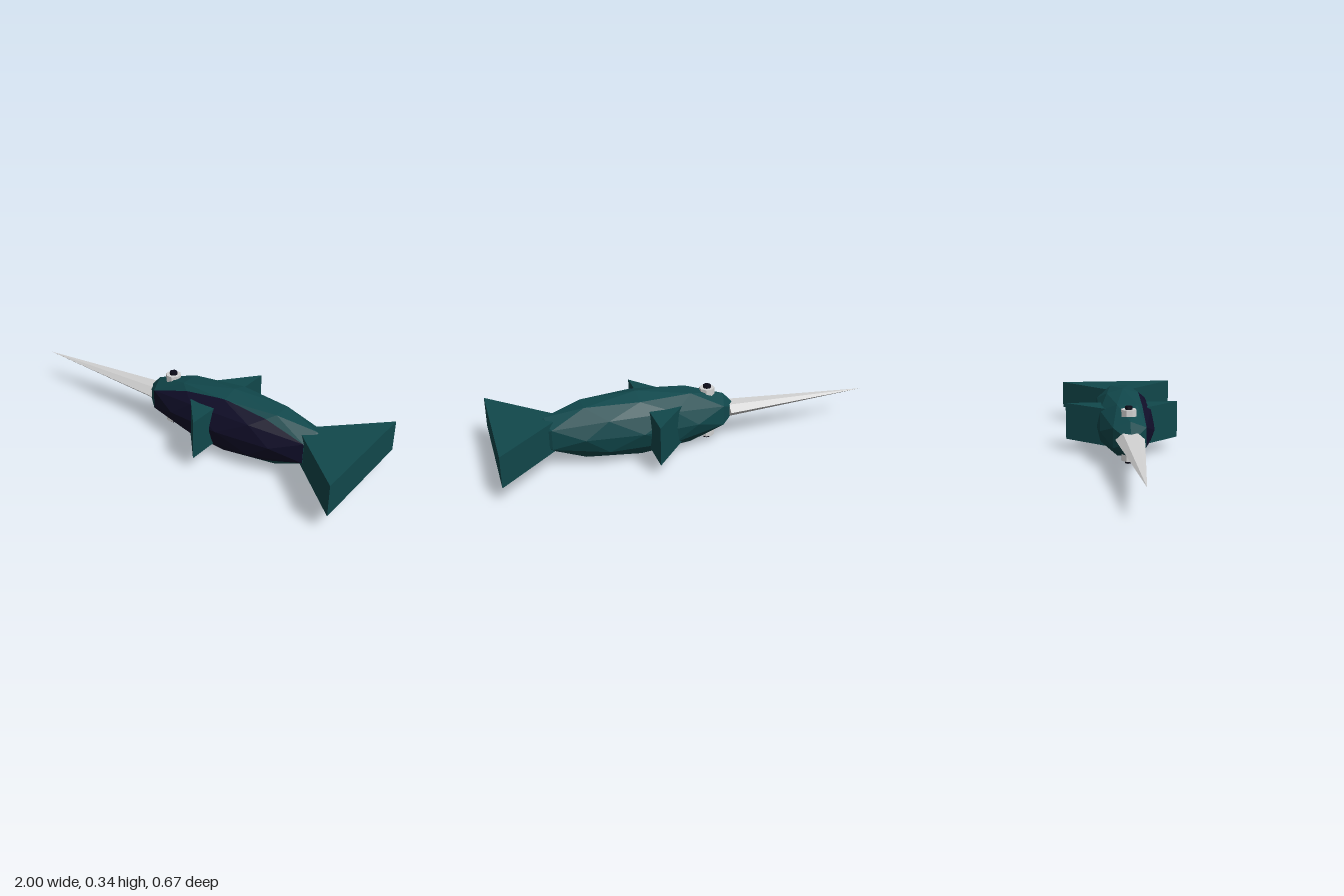
import * as THREE from 'three';

const mat = (name, color) => {
  const m = new THREE.MeshStandardMaterial({ color, flatShading: true });
  m.name = name;
  return m;
};

// Keep the part of a triangle geometry in front of (side 1) or behind (side -1) the plane z = cut
function clipZ(geometry, cut, side) {
  const p = geometry.getAttribute('position');
  const out = [];
  for (let i = 0; i < p.count; i += 3) {
    const tri = [0, 1, 2].map(k => new THREE.Vector3().fromBufferAttribute(p, i + k));
    const poly = [];
    tri.forEach((a, k) => {
      const b = tri[(k + 1) % 3];
      const da = (a.z - cut) * side, db = (b.z - cut) * side;
      if (da >= 0) poly.push(a);
      if (da * db < 0) poly.push(a.clone().lerp(b, da / (da - db)));
    });
    for (let k = 1; k + 1 < poly.length; k++) {
      for (const v of [poly[0], poly[k], poly[k + 1]]) out.push(v.x, v.y, v.z);
    }
  }
  const g = new THREE.BufferGeometry();
  g.setAttribute('position', new THREE.Float32BufferAttribute(out, 3));
  g.computeVertexNormals();
  return g;
}

// Prism with an outline of [x, z] points, standing between two heights
function prism(points, y0, y1) {
  const shape = new THREE.Shape(points.map(([x, z]) => new THREE.Vector2(x, -z)));
  const g = new THREE.ExtrudeGeometry(shape, { depth: y1 - y0, bevelEnabled: false });
  return g.rotateX(-Math.PI / 2).translate(0, y0, 0);
}

export function createModel() {
  const model = new THREE.Group();
  model.name = 'fish';
  const teal = mat('teal skin', 0x11484c);
  const navy = mat('navy back', 0x100e29);
  const grey = mat('pale grey', 0xd2d2d2);
  const black = mat('pupil black', 0x0b0b18);
  const add = (name, geometry, material, parent = model) => {
    const mesh = new THREE.Mesh(geometry, material);
    mesh.name = name;
    parent.add(mesh);
    return mesh;
  };

  const midY = 0.17, midZ = -0.01;

  // Faceted body, with the back in a darker colour
  const body = new THREE.IcosahedronGeometry(1, 1).rotateY(Math.PI / 2)
    .scale(0.55, 0.168, 0.168).translate(0.28, midY, midZ);
  add('body', clipZ(body, 0.074, -1), teal);
  add('back', clipZ(body, 0.074, 1), navy);

  // Long flattened six-sided bill
  const bill = new THREE.ConeGeometry(1, 0.79, 6).rotateZ(Math.PI / 2)
    .scale(1, 0.038, 0.074).translate(-0.605, midY + 0.002, midZ - 0.002);
  add('bill', bill, grey);

  // Tail and the two fins
  add('tail', prism([[0.65, 0], [1, 0.335], [1, -0.335]], 0.09, 0.25), teal);
  add('backFin', prism([[0.0, midZ], [0.243, 0.286], [0.243, midZ]], 0.07, 0.27), teal);
  add('bellyFin', prism([[-0.02, midZ], [0.243, midZ], [0.243, -0.325]], 0.07, 0.27), teal);

  // Eyes on both flanks
  for (const side of [1, -1]) {
    const eye = new THREE.Group();
    eye.name = side > 0 ? 'upperEye' : 'lowerEye';
    eye.position.set(-0.1, midY, midZ);
    if (side < 0) eye.rotation.x = Math.PI;
    add('eyeball', new THREE.CylinderGeometry(0.037, 0.037, 0.05, 8)
      .rotateY(Math.PI / 8).scale(1.08, 1, 1.08).translate(0, 0.108, 0), grey, eye);
    add('pupil', new THREE.CylinderGeometry(0.02, 0.022, 0.03, 8)
      .rotateY(Math.PI / 8).translate(0, 0.133, 0), black, eye);
    model.add(eye);
  }
  return model;
}
